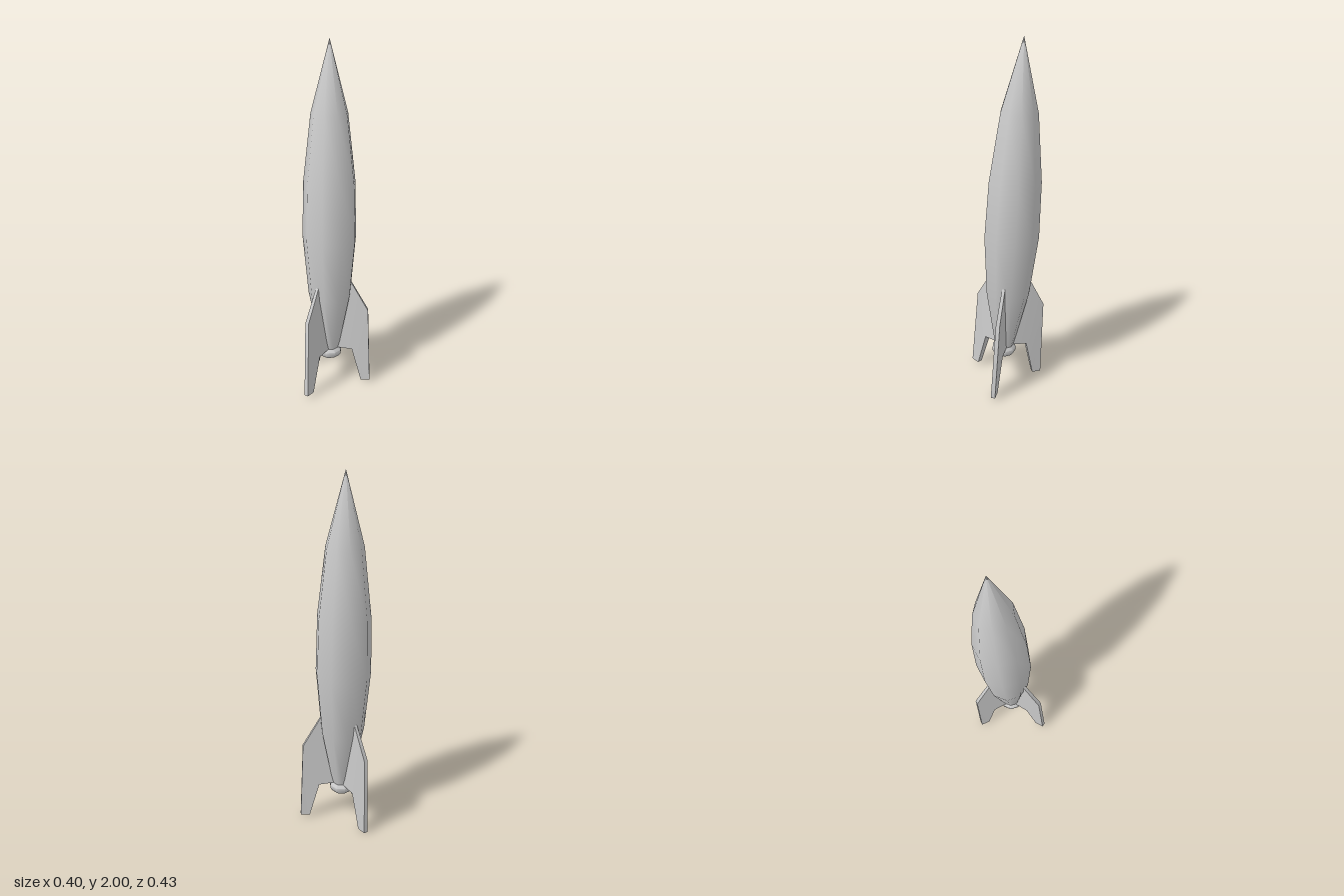
import * as THREE from 'three';
import { toCreasedNormals } from 'three/addons/utils/BufferGeometryUtils.js';

const SIDES = 9;
const FIN_ANGLE = -12; // degrees from +x towards +z; fins sit on the middle of a hull face
const rad = THREE.MathUtils.degToRad;

function lathe(profile) {
  const points = profile.map(([r, y]) => new THREE.Vector2(r, y));
  return new THREE.LatheGeometry(points, SIDES, rad(90 - FIN_ANGLE - 20));
}

// Fin outline as [radius, height, half thickness], thick at the root and thin at the rim
function finGeometry() {
  const outline = [
    [0.1, 0.68, 0.008],
    [0.22, 0.465, 0.011],
    [0.237, 0, 0.012],
    [0.185, 0, 0.015],
    [0.13, 0.212, 0.021],
    [0.03, 0.225, 0.024],
  ];
  const n = outline.length;
  const positions = [];
  for (const side of [1, -1]) {
    for (const [r, y, t] of outline) positions.push(r, y, side * t);
  }
  const index = [];
  for (const [a, b, c] of [[0, 4, 1], [0, 5, 4], [1, 4, 3], [1, 3, 2]]) {
    index.push(a, b, c, a + n, c + n, b + n);
  }
  for (let i = 0; i < n; i++) {
    const j = (i + 1) % n;
    index.push(i, j, j + n, i, j + n, i + n);
  }
  const geometry = new THREE.BufferGeometry();
  geometry.setAttribute('position', new THREE.Float32BufferAttribute(positions, 3));
  geometry.setIndex(index);
  return toCreasedNormals(geometry, rad(40));
}

export function createModel() {
  const model = new THREE.Group();
  model.name = 'rocket';
  const material = new THREE.MeshStandardMaterial({ color: 0xcccccc });

  const add = (geometry, name) => {
    const mesh = new THREE.Mesh(geometry, material);
    mesh.name = name;
    model.add(mesh);
    return mesh;
  };

  // Spindle-shaped hull
  add(lathe([
    [0.053, 0.215], [0.122, 0.565], [0.152, 0.915], [0.143, 1.235], [0.1, 1.605], [0, 1.987],
  ]), 'hull');

  // Rounded nozzle with a recessed opening
  add(toCreasedNormals(lathe([
    [0, 0.195], [0.04, 0.195], [0.046, 0.165], [0.056, 0.165],
    [0.068, 0.182], [0.069, 0.204], [0.048, 0.228],
  ]), rad(50)), 'nozzle');

  // Three fins that double as landing legs
  const fin = finGeometry();
  for (let i = 0; i < 3; i++) {
    add(fin, `fin${i + 1}`).rotation.y = -rad(FIN_ANGLE + i * 120);
  }

  // The rocket leans slightly back and to its right
  model.rotation.set(-0.05, 0, 0.014);
  model.position.set(-0.034, 0.015, -0.01);
  const root = new THREE.Group();
  root.add(model);
  return root;
}
